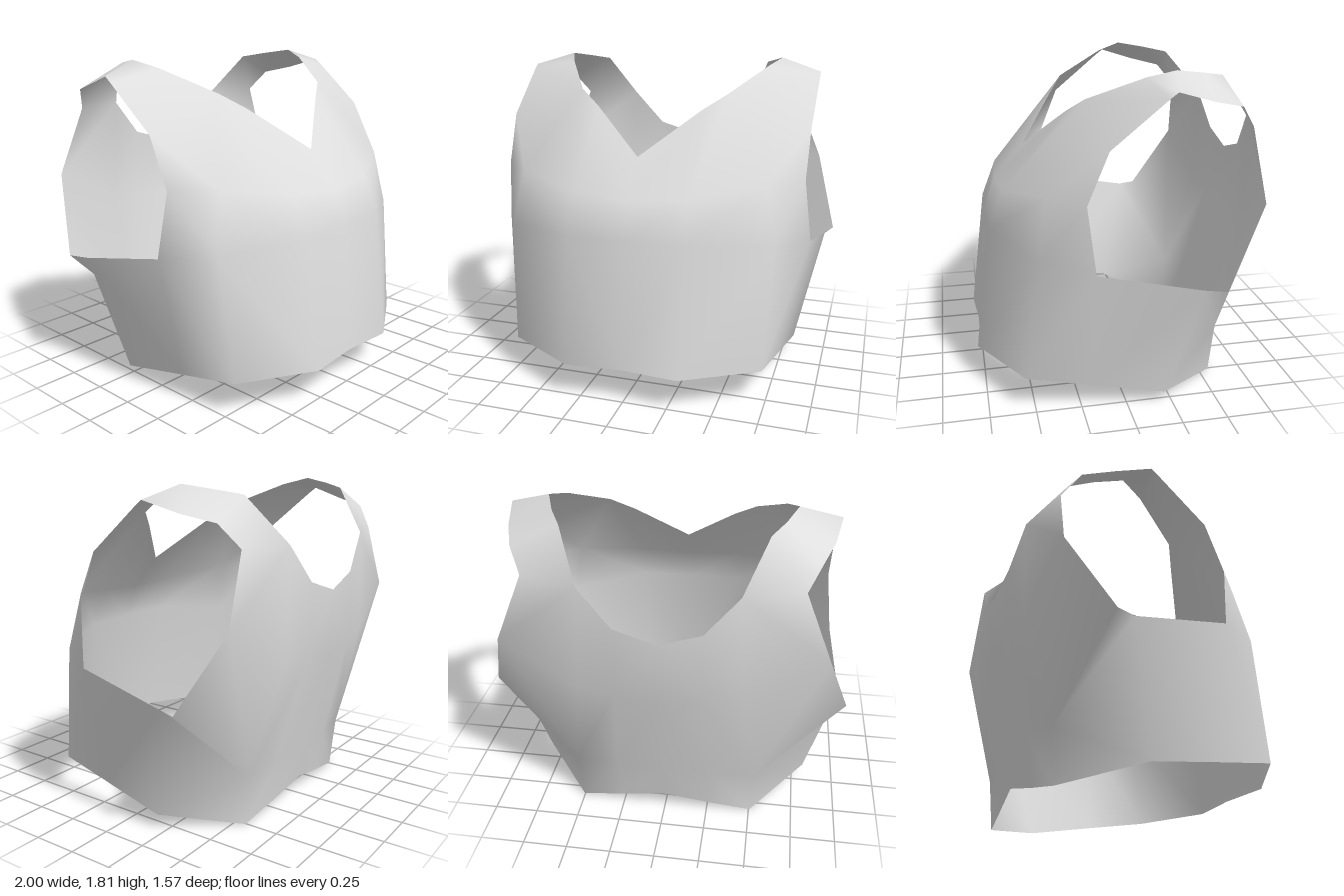
import * as THREE from 'three';
import { mergeVertices } from 'three/addons/utils/BufferGeometryUtils.js';

// Corners shared by neighbouring panels (model's left half)
const sideHem = [0.77, 0.145, 0.2];
const armFront = [0.92, 0.85, 0.2];
const underarm = [0.96, 0.74, -0.35];
const flareTip = [1.0, 0.74, -0.46];
const armBack = [0.87, 1.15, -0.69];
const foldBase = [0.52, 0.29, -0.585];
const backHem = [0.505, 0, -0.56];
const neckFront = [0.43, 1.64, 0.165];
const neckBack = [0.41, 1.515, -0.745];
const chestArm = [0.885, 1.47, 0.13];

// Each panel is a list of columns, running from front to back around the body
const frontPanel = [
  [[0, 0.2, 0.76], [0, 0.92, 0.7], [0, 1.12, 0.63], [0, 1.32, 0.455]],
  [[0.32, 0.2, 0.785], [0.33, 0.92, 0.69], [0.32, 1.14, 0.605], [0.3, 1.555, 0.25]],
  [[0.73, 0.2, 0.55], [0.76, 0.88, 0.47], [0.7, 1.2, 0.42], neckFront],
  [sideHem, armFront, [0.88, 1.2, 0.24], chestArm],
];
const sidePanel = [
  [sideHem, armFront],
  [[0.815, 0.08, -0.2], underarm],
  [backHem, foldBase],
];
const underarmFold = [
  [foldBase, underarm],
  [foldBase, flareTip],
  [foldBase, armBack],
];
const shoulderStrap = [
  [neckFront, [0.6, 1.77, -0.12], [0.66, 1.81, -0.26], [0.6, 1.785, -0.42],
    [0.53, 1.76, -0.55], neckBack, neckBack],
  [chestArm, [0.89, 1.71, -0.16], [0.89, 1.74, -0.2], [0.85, 1.68, -0.4],
    [0.79, 1.64, -0.57], [0.72, 1.52, -0.66], armBack],
];
const backPanel = [
  [backHem, foldBase, armBack, armBack],
  [backHem, foldBase, [0.44, 0.92, -0.745], neckBack],
  [[0.26, 0.05, -0.587], [0.27, 0.31, -0.623], [0.24, 0.9, -0.77], [0.23, 1.31, -0.775]],
  [[0, 0.11, -0.615], [0, 0.33, -0.66], [0, 0.88, -0.78], [0, 1.24, -0.785]],
];

// Skins the panels on both sides and smooths across their seams
function skin(panels) {
  const position = [];
  const triangle = (a, b, c) => {
    if (a === b || b === c || a === c) return;
    position.push(...a, ...b, ...c);
    for (const [x, y, z] of [a, c, b]) position.push(x === 0 ? 0 : -x, y, z);
  };
  for (const columns of panels) {
    for (let i = 0; i + 1 < columns.length; i++) {
      for (let j = 0; j + 1 < columns[i].length; j++) {
        const a = columns[i][j], b = columns[i + 1][j];
        const c = columns[i + 1][j + 1], d = columns[i][j + 1];
        triangle(a, b, c);
        triangle(a, c, d);
      }
    }
  }
  const geometry = new THREE.BufferGeometry();
  geometry.setAttribute('position', new THREE.Float32BufferAttribute(position, 3));
  const welded = mergeVertices(geometry);
  welded.computeVertexNormals();
  return welded;
}

export function createModel() {
  const group = new THREE.Group();
  group.name = 'vest';
  const cloth = new THREE.MeshStandardMaterial({ color: 0xdedede, side: THREE.DoubleSide });
  cloth.name = 'pale grey cloth';

  const shell = new THREE.Mesh(
    skin([frontPanel, sidePanel, underarmFold, shoulderStrap, backPanel]), cloth);
  shell.name = 'vestShell';
  group.add(shell);
  return group;
}
